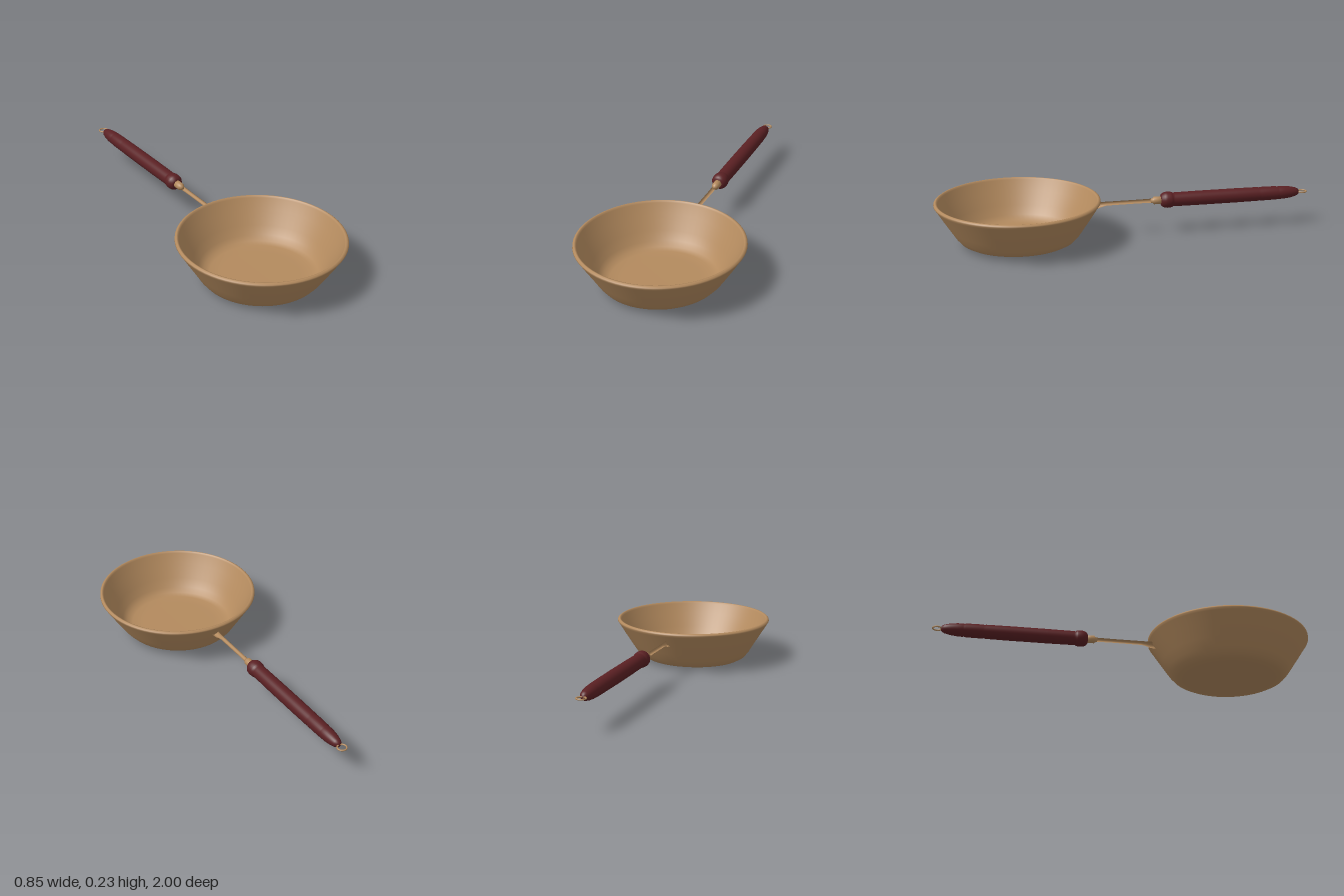
import * as THREE from 'three';

const bronze = new THREE.MeshStandardMaterial({ color: 0xb38a5e });
bronze.name = 'bronze';
const darkWood = new THREE.MeshStandardMaterial({ color: 0x5a2023 });
darkWood.name = 'dark red wood';

const HANDLE_Y = 0.18;
const BOWL_Z = 0.57;

// Lathe from [radius, height] pairs
function turned(points, segments) {
  return new THREE.LatheGeometry(points.map(([r, y]) => new THREE.Vector2(r, y)), segments);
}

function part(group, name, geometry, material) {
  const mesh = new THREE.Mesh(geometry, material);
  mesh.name = name;
  group.add(mesh);
  return mesh;
}

// Bowl: outer wall, rolled rim, then inner wall and floor
function bowlGeometry() {
  const g = turned([
    [0, 0.006], [0.2, 0.006], [0.245, 0.007], [0.272, 0.012], [0.297, 0.026], [0.32, 0.053],
    [0.348, 0.097], [0.388, 0.16], [0.418, 0.209], [0.425, 0.219], [0.424, 0.226], [0.416, 0.232],
    [0.409, 0.231], [0.405, 0.222], [0.374, 0.164], [0.335, 0.1], [0.308, 0.055],
    [0.284, 0.032], [0.255, 0.022], [0.2, 0.019], [0, 0.019],
  ], 72);
  // Slightly uneven base, as if beaten by hand
  const p = g.attributes.position;
  for (let i = 0; i < p.count; i++) {
    const y = p.getY(i);
    p.setY(i, y + 0.02 * p.getX(i) * Math.max(0, 1 - y / 0.1));
    p.setZ(i, p.getZ(i) * 1.01);
  }
  return g;
}

// Shank: a tube lofted through stations of z, half width, top and bottom
function shankGeometry() {
  const stations = [
    [0.182, 0.017, 0.189, 0.153], [0.15, 0.016, 0.19, 0.156], [0.125, 0.012, 0.19, 0.164],
    [0.1, 0.01, 0.19, 0.169], [-0.06, 0.01, 0.19, 0.17], [-0.14, 0.011, 0.191, 0.169],
  ];
  const g = new THREE.CylinderGeometry(1, 1, stations.length - 1, 16, stations.length - 1);
  const p = g.attributes.position;
  for (let i = 0; i < p.count; i++) {
    const k = Math.round(p.getY(i) + (stations.length - 1) / 2);
    const [z, w, top, bottom] = stations[k];
    const y = (top + bottom) / 2 - p.getZ(i) * (top - bottom) / 2;
    // The foot is cut to the slope of the bowl wall
    const slant = k === 0 ? -0.6 * (y - 0.172) : 0;
    p.setXYZ(i, p.getX(i) * w, y, z + slant);
  }
  // The axis now runs towards -z
  g.computeVertexNormals();
  return g;
}

export function createModel() {
  const pan = new THREE.Group();
  pan.name = 'pan';

  part(pan, 'bowl', bowlGeometry(), bronze).position.z = BOWL_Z;
  part(pan, 'shank', shankGeometry(), bronze);

  // Parts turned about the handle axis
  const handle = new THREE.Group();
  handle.name = 'handle';
  handle.position.y = HANDLE_Y;
  handle.rotation.x = -Math.PI / 2;
  pan.add(handle);

  part(handle, 'collar', turned([
    [0, 0.135], [0.011, 0.137], [0.015, 0.148], [0.02, 0.152], [0.02, 0.17], [0.021, 0.2], [0, 0.2],
  ], 24), bronze);

  part(handle, 'grip', turned([
    [0, 0.187], [0.022, 0.188], [0.033, 0.194], [0.041, 0.208], [0.043, 0.222], [0.042, 0.24],
    [0.04, 0.248], [0.036, 0.253], [0.037, 0.262], [0.038, 0.4], [0.038, 0.6], [0.037, 0.722],
    [0.034, 0.73], [0.037, 0.738], [0.036, 0.825], [0.033, 0.833], [0.035, 0.841], [0.034, 0.87],
    [0.03, 0.905], [0.023, 0.935], [0.014, 0.95], [0, 0.955],
  ], 32), darkWood);

  // Hanging ring lies flat at the tip
  const ring = new THREE.TorusGeometry(0.023, 0.004, 10, 28);
  ring.rotateX(Math.PI / 2);
  part(pan, 'hangingRing', ring, bronze).position.set(0, HANDLE_Y, -0.973);

  return pan;
}
